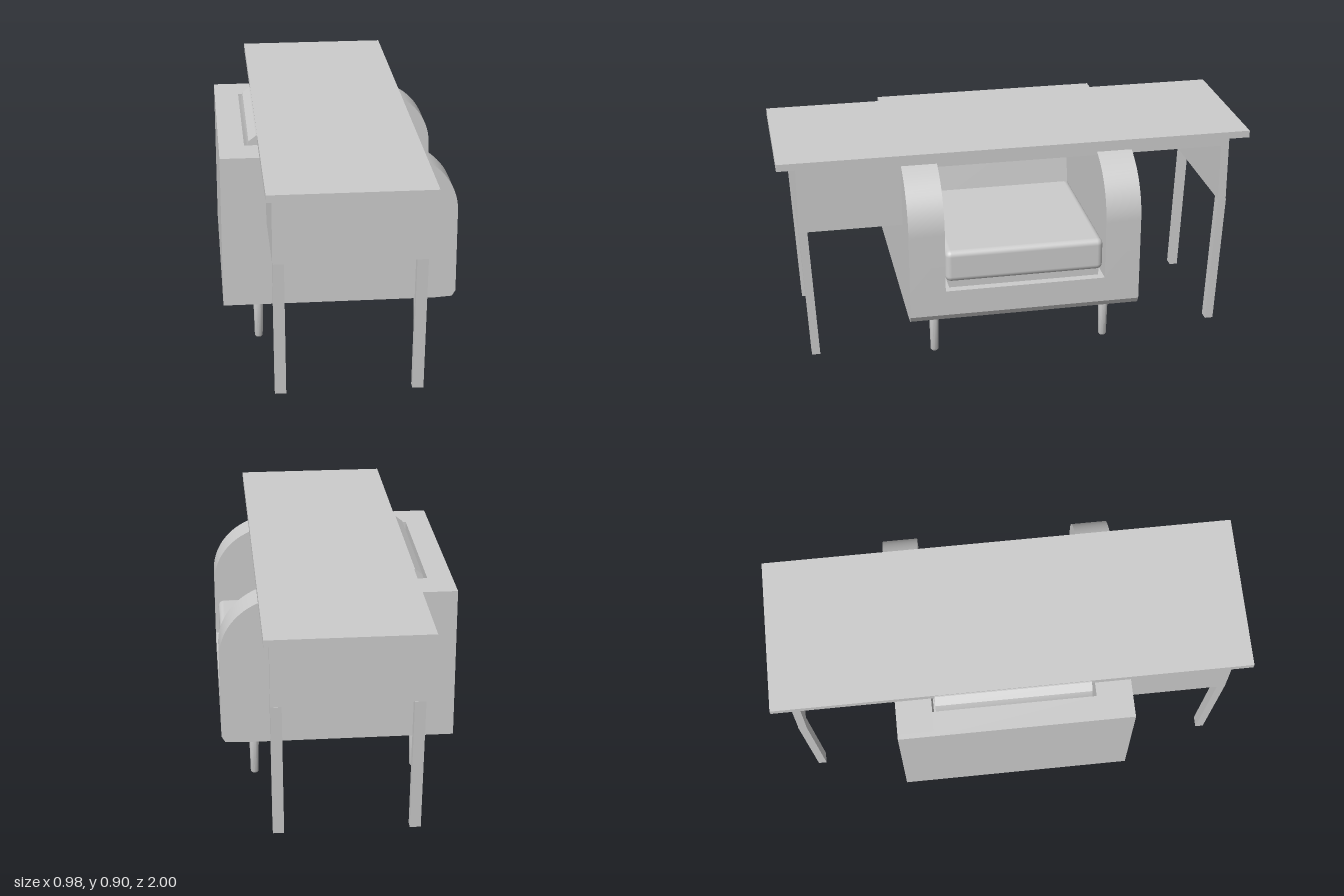
import * as THREE from 'three';
import { toCreasedNormals } from 'three/addons/utils/BufferGeometryUtils.js';
import { RoundedBoxGeometry } from 'three/addons/geometries/RoundedBoxGeometry.js';

const material = new THREE.MeshStandardMaterial({ color: 0xcccccc });

function add(parent, name, geometry, x = 0, y = 0, z = 0) {
  const mesh = new THREE.Mesh(geometry, material);
  mesh.name = name;
  mesh.position.set(x, y, z);
  parent.add(mesh);
  return mesh;
}

// Box given by its limits on each axis
function block(parent, name, [x0, x1], [y0, y1], [z0, z1]) {
  return add(parent, name, new THREE.BoxGeometry(x1 - x0, y1 - y0, z1 - z0),
    (x0 + x1) / 2, (y0 + y1) / 2, (z0 + z1) / 2);
}

// Side profile (x, y) extruded along z and centred at the given z
function profile(parent, name, shape, width, z) {
  const geometry = new THREE.ExtrudeGeometry(shape, { depth: width, bevelEnabled: false, curveSegments: 14 });
  geometry.translate(0, 0, -width / 2);
  return add(parent, name, toCreasedNormals(geometry, 0.35), 0, 0, z);
}

function makeTable() {
  const table = new THREE.Group();
  table.name = 'table';
  block(table, 'tableTop', [-0.33, 0.33], [0.87, 0.9], [-1, 1]);
  block(table, 'underRail', [-0.305, 0.305], [0.83, 0.87], [-0.89, 0.45]);
  block(table, 'drawerBox', [-0.305, 0.305], [0.58, 0.87], [0.42, 0.922]);
  block(table, 'endPanel', [-0.305, 0.305], [0.58, 0.87], [-0.92, -0.885]);

  // Square legs whose feet lean inward
  for (const sx of [-1, 1]) for (const sz of [-1, 1]) {
    const geometry = new THREE.BoxGeometry(0.045, 0.58, 0.035);
    const p = geometry.attributes.position;
    for (let i = 0; i < p.count; i++) {
      if (p.getY(i) < 0) {
        p.setX(i, p.getX(i) - sx * 0.005);
        p.setZ(i, p.getZ(i) - sz * 0.027);
      }
    }
    geometry.computeVertexNormals();
    add(table, 'tableLeg', geometry, sx * 0.2825, 0.29, sz * 0.904);
  }
  return table;
}

function makeArmchair() {
  const chair = new THREE.Group();
  chair.name = 'armchair';

  // Arms with a rounded front shoulder
  const arm = new THREE.Shape();
  arm.moveTo(-0.49, 0.205);
  arm.lineTo(0.40, 0.205);
  arm.lineTo(0.475, 0.21);
  arm.lineTo(0.49, 0.235);
  arm.lineTo(0.49, 0.6);
  arm.absellipse(0.21, 0.6, 0.28, 0.26, 0, Math.PI / 2, false, 0);
  arm.lineTo(-0.49, 0.86);
  arm.closePath();
  for (const s of [-1, 1]) profile(chair, 'arm', arm, 0.15, s * 0.415);

  // Seat base and backrest in one L-shaped profile
  const frame = new THREE.Shape([
    [-0.49, 0.205], [0.40, 0.205], [0.475, 0.21], [0.49, 0.235], [0.49, 0.345],
    [-0.385, 0.345], [-0.385, 0.86], [-0.49, 0.86],
  ].map(([x, y]) => new THREE.Vector2(x, y)));
  profile(chair, 'seatAndBackFrame', frame, 0.68, 0);

  // Cushions
  block(chair, 'cushionSupport', [-0.38, 0.455], [0.34, 0.39], [-0.32, 0.32]);
  add(chair, 'seatCushion', new RoundedBoxGeometry(0.68, 0.14, 0.67, 3, 0.025), 0.135, 0.445, 0);
  const back = new THREE.Shape([
    [-0.375, 0.40], [-0.17, 0.40], [-0.15, 0.43], [-0.22, 0.86], [-0.25, 0.893],
    [-0.335, 0.896], [-0.366, 0.872], [-0.375, 0.84],
  ].map(([x, y]) => new THREE.Vector2(x, y)));
  profile(chair, 'backCushion', back, 0.65, 0);

  // Round tapered feet with a small rounded tip
  const foot = new THREE.LatheGeometry([
    [0, 0], [0.014, 0], [0.017, 0.005], [0.021, 0.195], [0.019, 0.207], [0, 0.207],
  ].map(([r, y]) => new THREE.Vector2(r, y)), 16);
  for (const x of [-0.34, 0.35]) for (const z of [-0.372, 0.372]) {
    add(chair, 'chairLeg', toCreasedNormals(foot, 0.6), x, 0, z);
  }
  return chair;
}

export function createModel() {
  const model = new THREE.Group();
  model.name = 'tableWithArmchair';
  model.add(makeTable(), makeArmchair());
  return model;
}
